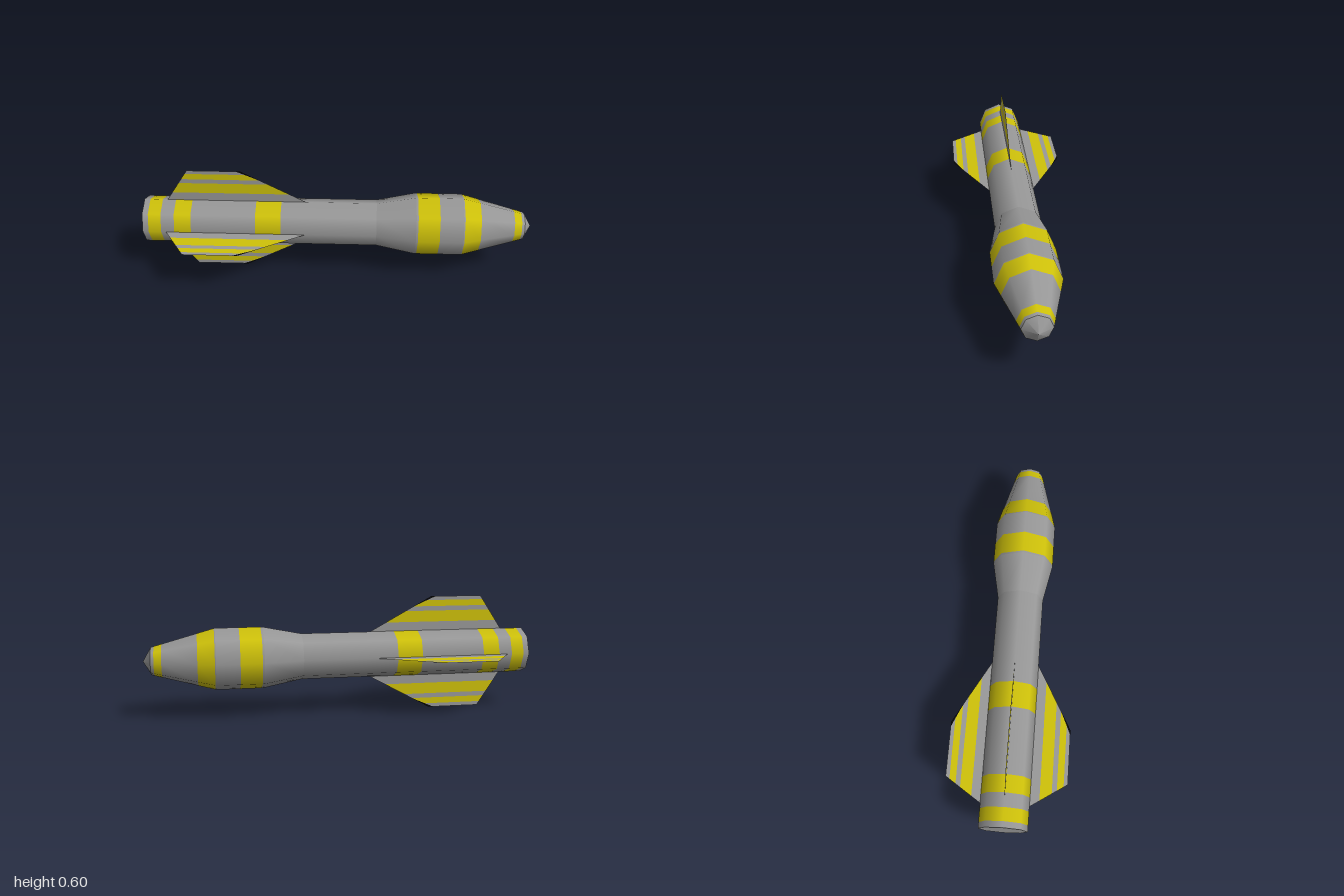
import * as THREE from 'three';

const AXIS_Y = 0.3;

export function createModel() {
  const root = new THREE.Group();
  root.name = 'missile';
  const make = (name, color) => {
    const m = new THREE.MeshStandardMaterial({ color, side: THREE.DoubleSide });
    m.name = name;
    return m;
  };
  const gray = make('gray', 0x999999);
  const yellow = make('yellow', 0xcfc20a);
  const black = make('black', 0x0a0a0a);

  // Body outline: [x, radius] from the tail to the nose tip
  const profile = [[-1, 0.12], [0.2, 0.12], [0.4, 0.16], [0.64, 0.16], [0.96, 0.071], [1, 0]];
  // Painted bands: [start x, end x]
  const bands = [[-0.97, -0.905], [-0.837, -0.751], [-0.42, -0.29],
    [0.41, 0.52], [0.645, 0.73], [0.906, 0.944]];

  const radiusAt = (x) => {
    const i = Math.max(1, profile.findIndex((p) => p[0] >= x - 1e-6));
    const [a, b] = [profile[i - 1], profile[i]];
    return a[1] + (b[1] - a[1]) * (x - a[0]) / (b[0] - a[0]);
  };

  // Eight-sided sections, cut at every outline corner and band edge
  const body = new THREE.Group();
  body.name = 'body';
  body.position.y = AXIS_Y;
  root.add(body);
  const cuts = [...profile.map((p) => p[0]), ...bands.flat()].sort((a, b) => a - b);
  for (let i = 1; i < cuts.length; i++) {
    const [x0, x1] = [cuts[i - 1], cuts[i]];
    const mid = (x0 + x1) / 2;
    const painted = bands.some(([a, b]) => mid > a && mid < b);
    const geo = new THREE.CylinderGeometry(radiusAt(x1), radiusAt(x0), x1 - x0, 8, 1, true);
    geo.rotateZ(-Math.PI / 2);
    const section = new THREE.Mesh(geo, painted ? yellow : gray);
    section.name = painted ? 'bodyBand' : x1 === 1 ? 'noseTip' : 'bodySection';
    section.position.x = mid;
    body.add(section);
  }

  // Flat tail end
  const tail = new THREE.Mesh(new THREE.CircleGeometry(0.12, 8).rotateY(-Math.PI / 2), gray);
  tail.name = 'tailCap';
  tail.position.x = -1;
  body.add(tail);

  // Fin edges as functions of the distance from the axis
  const trailing = (r) => THREE.MathUtils.mapLinear(r, 0.12, 0.3, -0.88, -0.762);
  const leading = (r) => THREE.MathUtils.mapLinear(r, 0.12, 0.3, -0.163, -0.49);
  const plate = (points) =>
    new THREE.ShapeGeometry(new THREE.Shape(points.map(([x, y]) => new THREE.Vector2(x, y))));

  // Black leading corner narrows from the tip to this height
  const cornerBase = 0.248;
  const inner = (r) => leading(r) - Math.max(0, (r - cornerBase) / (0.3 - cornerBase)) * 0.025;
  const stripes = [[0.11, 0.166, gray], [0.166, 0.224, yellow], [0.224, cornerBase, gray],
    [cornerBase, 0.28, yellow], [0.28, 0.3, gray]];

  // Four thin fins, striped along the body
  for (let k = 0; k < 4; k++) {
    const fin = new THREE.Group();
    fin.name = 'fin' + (k + 1);
    fin.rotation.x = k * Math.PI / 2;
    for (const [a, b, mat] of stripes) {
      const stripe = new THREE.Mesh(
        plate([[trailing(a), a], [inner(a), a], [inner(b), b], [trailing(b), b]]), mat);
      stripe.name = 'finStripe';
      fin.add(stripe);
    }
    const corner = new THREE.Mesh(
      plate([[leading(cornerBase), cornerBase], [leading(0.3), 0.3], [inner(0.3), 0.3]]), black);
    corner.name = 'finCorner';
    fin.add(corner);
    body.add(fin);
  }
  return root;
}
